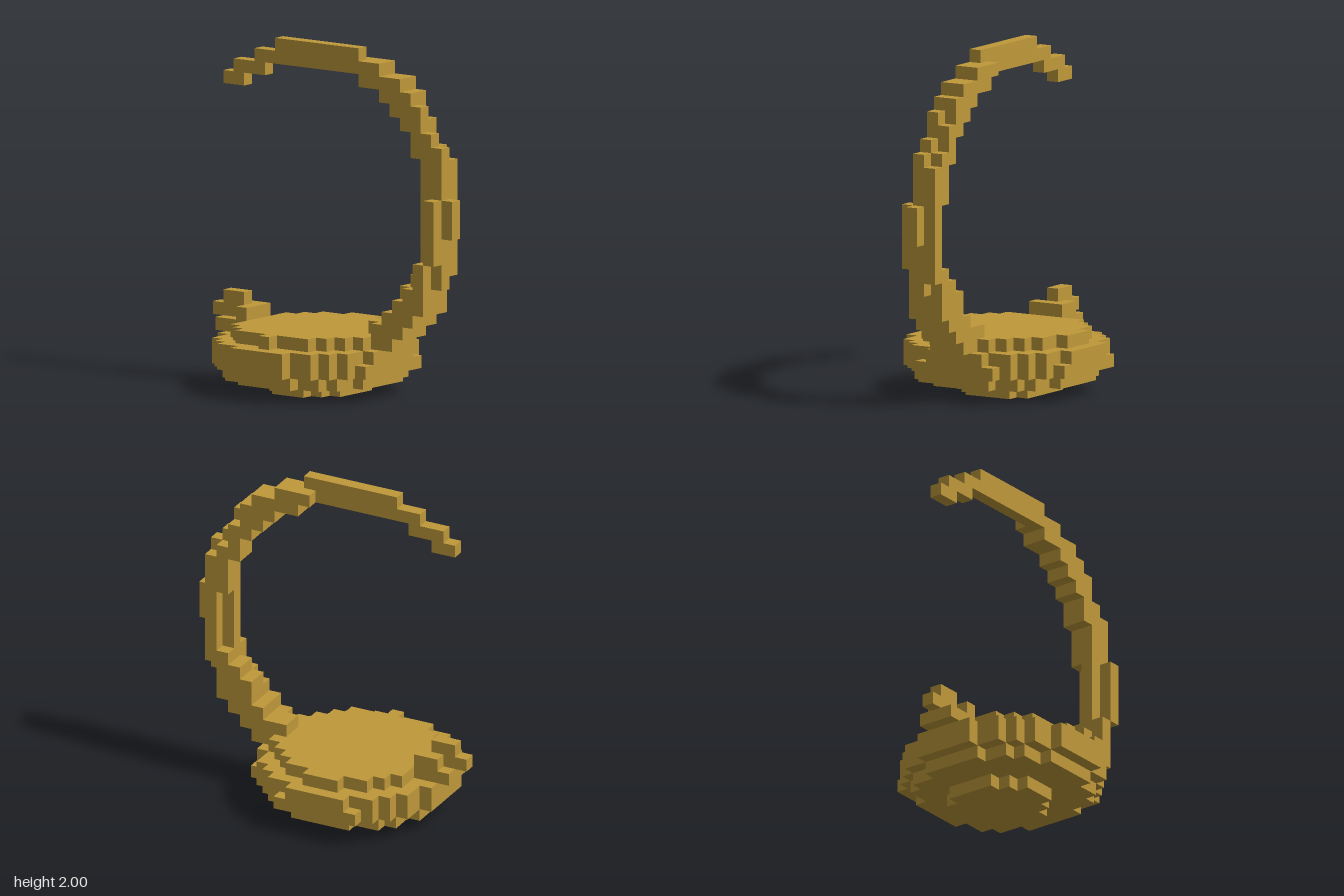
import * as THREE from 'three';

const UNIT = 2 / 27; // one block
const ORIGIN = [11.5, 0, 7.5]; // grid point that sits at the world origin
const DIRS = [[1, 0, 0], [-1, 0, 0], [0, 1, 0], [0, -1, 0], [0, 0, 1], [0, 0, -1]];
const key = (x, y, z) => `${x},${y},${z}`;

// Row of blocks from x0 to x1 inclusive
function addRow(cells, x0, x1, y, z) {
  for (let x = x0; x <= x1; x++) cells.set(key(x, y, z), [x, y, z]);
}

// Round slab: half widths for each row, from the back row to the front row
function addDisc(cells, y, halves) {
  const z0 = 7 - (halves.length - 1) / 2;
  halves.forEach((h, i) => addRow(cells, 9 - h, 9 + h, y, z0 + i));
}

// Rows given as [y0, y1, x0, x1] in one depth slice
function addSlice(cells, z, rows) {
  for (const [y0, y1, x0, x1] of rows)
    for (let y = y0; y <= y1; y++) addRow(cells, x0, x1, y, z);
}

// Only the faces not covered by a neighbouring block
function blockMesh(name, cells, occupied, material) {
  const pos = [], nor = [], index = [];
  for (const c of cells.values()) {
    for (const d of DIRS) {
      if (occupied.has(key(c[0] + d[0], c[1] + d[1], c[2] + d[2]))) continue;
      const axis = d.findIndex((n) => n !== 0);
      const u = (axis + 1) % 3, v = (axis + 2) % 3;
      const base = pos.length / 3;
      const ring = [[0, 0], [1, 0], [1, 1], [0, 1]];
      if (d[axis] < 0) ring.reverse();
      for (const [a, b] of ring) {
        const p = [...c];
        if (d[axis] > 0) p[axis] += 1;
        p[u] += a;
        p[v] += b;
        p.forEach((n, i) => pos.push((n - ORIGIN[i]) * UNIT));
        nor.push(...d);
      }
      index.push(base, base + 1, base + 2, base, base + 2, base + 3);
    }
  }
  const geo = new THREE.BufferGeometry();
  geo.setAttribute('position', new THREE.Float32BufferAttribute(pos, 3));
  geo.setAttribute('normal', new THREE.Float32BufferAttribute(nor, 3));
  geo.setIndex(index);
  const mesh = new THREE.Mesh(geo, material);
  mesh.name = name;
  return mesh;
}

export function createModel() {
  const brass = new THREE.MeshStandardMaterial({ color: 0xbf993a });
  brass.name = 'brass';

  // Bowl: foot, lower slab, two wide slabs and a flat top
  const bowl = new Map();
  addDisc(bowl, 0, [2, 3, 3, 3, 3, 2, 1]);
  addDisc(bowl, 1, [2, 4, 5, 5, 6, 6, 6, 6, 6, 5, 5, 4, 2]);
  addDisc(bowl, 2, [3, 4, 5, 6, 6, 7, 7, 7, 7, 7, 6, 6, 5, 4, 2]);
  addDisc(bowl, 3, [2, 4, 5, 6, 6, 7, 7, 7, 7, 7, 6, 6, 5, 4, 2]);
  addDisc(bowl, 4, [1, 3, 4, 5, 5, 6, 6, 6, 5, 4, 3, 3, 0].map((h, i) => [1, 3, 4, 5, 5, 6, 6, 6, 5, 5, 4, 3, 0][i]));
  for (const z of [4, 10]) addRow(bowl, 16, 16, 2, z);
  for (const z of [5, 9]) addRow(bowl, 15, 15, 4, z);

  // Spout on the right rim
  const spout = new Map();
  addSlice(spout, 6, [[4, 4, 1, 3], [5, 5, 2, 3]]);
  addSlice(spout, 7, [[4, 4, 1, 3], [5, 5, 0, 3], [6, 6, 1, 2]]);
  addSlice(spout, 8, [[4, 4, 1, 3], [5, 5, 3, 3]]);

  // Arching handle: back, middle and front slices
  const handle = new Map();
  addSlice(handle, 6, [
    [4, 4, 16, 17], [5, 5, 15, 18], [6, 6, 17, 19], [7, 7, 18, 20], [8, 8, 18, 20],
    [9, 9, 19, 20], [10, 10, 20, 21], [11, 15, 21, 21], [16, 18, 20, 21], [19, 19, 19, 20],
    [20, 20, 19, 19], [21, 21, 18, 19], [22, 22, 17, 18], [23, 23, 16, 18],
    [24, 24, 14, 17], [25, 25, 13, 15],
  ]);
  addSlice(handle, 7, [
    [4, 4, 16, 17], [5, 5, 15, 18], [6, 6, 17, 19], [7, 8, 18, 20], [9, 9, 19, 21],
    [10, 18, 20, 21], [13, 15, 22, 22], [19, 19, 19, 21], [20, 20, 19, 20],
    [21, 21, 18, 19], [22, 22, 17, 19], [23, 23, 16, 18], [24, 24, 14, 17],
    [25, 25, 4, 15], [26, 26, 6, 13], [24, 24, 2, 4], [23, 23, 1, 2],
  ]);
  addSlice(handle, 8, [
    [4, 4, 16, 17], [5, 5, 16, 18], [6, 6, 17, 19], [7, 7, 18, 20],
    [8, 8, 19, 20], [9, 10, 20, 20], [11, 15, 21, 21],
  ]);

  const parts = { bowl, spout, handle };
  const occupied = new Set(Object.values(parts).flatMap((p) => [...p.keys()]));
  const group = new THREE.Group();
  group.name = 'oilLamp';
  for (const [name, cells] of Object.entries(parts)) {
    group.add(blockMesh(name, cells, occupied, brass));
  }
  return group;
}
